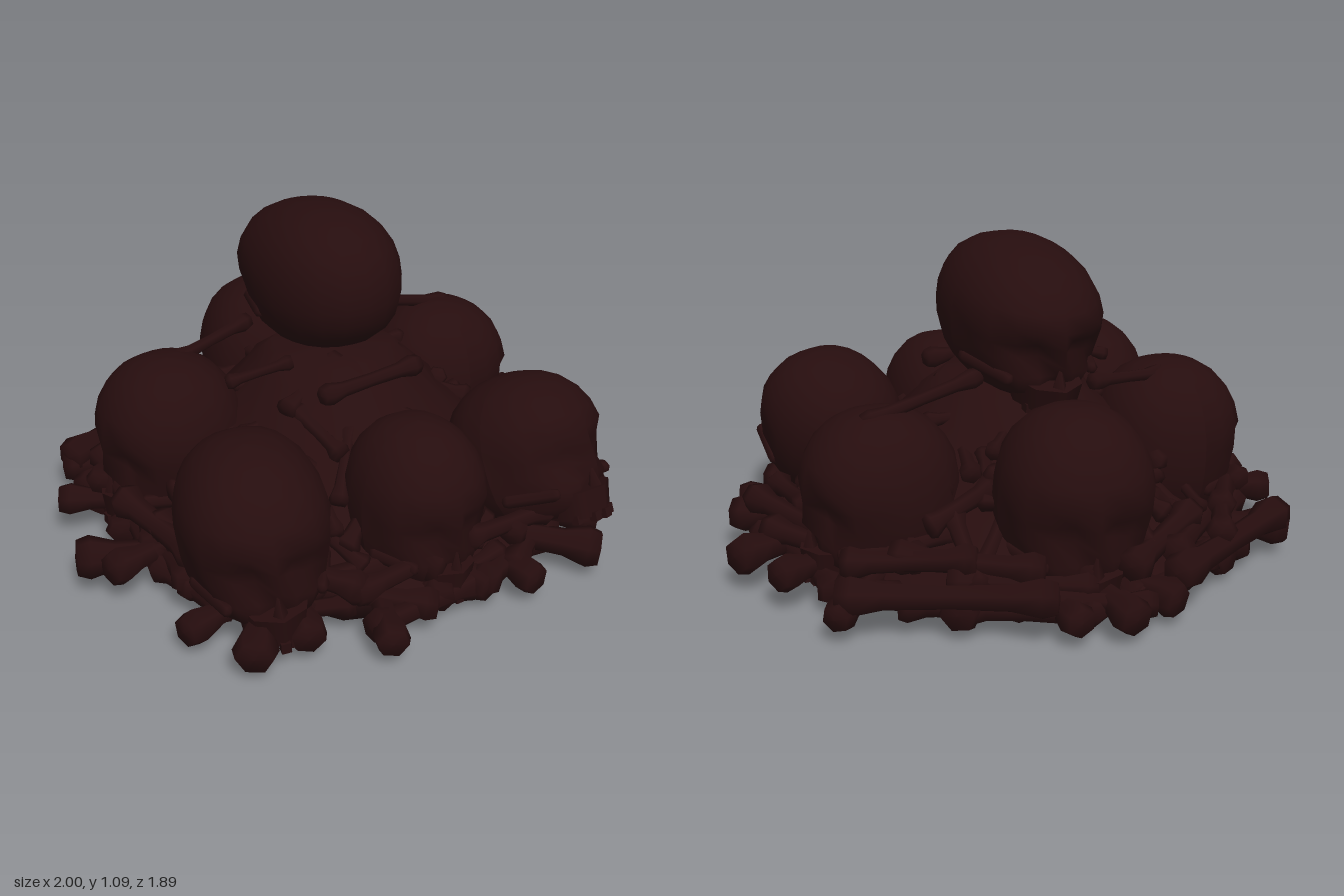
import * as THREE from 'three';

const boneMat = new THREE.MeshStandardMaterial({ color: 0x260d0e, side: THREE.DoubleSide });
boneMat.name = 'dark dried bone';

let seed = 7;
const rand = () => (seed = (seed * 16807) % 2147483647) / 2147483647;
const range = (a, b) => a + (b - a) * rand();
const V = (x, y, z) => new THREE.Vector3(x, y, z);

function add(parent, geometry, name) {
  const m = new THREE.Mesh(geometry, boneMat);
  m.name = name;
  parent.add(m);
  return m;
}

// Cranium: slightly boxy unit sphere shaped by rule, face toward +z
function craniumGeometry() {
  const g = new THREE.SphereGeometry(1, 20, 14);
  const p = g.attributes.position;
  const dents = [[-0.4, -0.18, 0.9, 0.36, 0.28], [0.4, -0.18, 0.9, 0.36, 0.28], [0, -0.55, 0.85, 0.22, 0.18],
    [-0.95, -0.25, 0.4, 0.4, 0.08], [0.95, -0.25, 0.4, 0.4, 0.08]];
  for (let i = 0; i < p.count; i++) {
    const d = V(p.getX(i), p.getY(i), p.getZ(i));
    let k = 1 / (Math.abs(d.x) ** 2.3 + Math.abs(d.y) ** 2.3 + Math.abs(d.z) ** 2.3) ** (1 / 2.3);
    for (const [x, y, z, r, depth] of dents) {
      const dist = d.distanceTo(V(x, y, z).normalize());
      if (dist < r) k -= depth * (1 - (dist / r) ** 2);
    }
    const face = Math.max(0, d.z) * Math.max(0, -d.y);
    p.setXYZ(i, d.x * k * (1 - 0.2 * face), Math.max(d.y, -0.85) * k, d.z * k * (1 + 0.15 * face));
  }
  g.computeVertexNormals();
  return g;
}
const cranium = craniumGeometry();

// Skull of half sizes (w, h, l) with nose, cheeks, upper jaw and teeth
function skull(parent, name, [x, y, z], [w, h, l], yaw, pitch, roll) {
  const s = new THREE.Group();
  s.name = name;
  s.position.set(x, y, z);
  s.rotation.set(pitch, yaw, roll, 'YXZ');
  s.scale.set(w, h, l);
  add(s, cranium, 'cranium');
  add(s, new THREE.CylinderGeometry(0.48, 0.42, 0.35, 8), 'upperJaw').position.set(0, -0.7, 0.58);
  add(s, new THREE.ConeGeometry(0.1, 0.3, 4), 'noseBone').position.set(0, -0.38, 0.92);
  for (const side of [-1, 1]) {
    const cheek = add(s, new THREE.CapsuleGeometry(0.09, 0.6, 2, 6), 'cheekbone');
    cheek.position.set(side * 0.74, -0.46, 0.42);
    cheek.rotation.set(Math.PI / 2, 0, side * 0.4);
  }
  for (let i = -2; i <= 2; i++) {
    add(s, new THREE.BoxGeometry(0.13, 0.12, 0.1), 'tooth')
      .position.set(i * 0.15, -0.88, 0.98 - 0.06 * i * i);
  }
  parent.add(s);
}

// Long bone from a to b with swollen ends
function bone(parent, a, b, r, name) {
  const len = a.distanceTo(b);
  const profile = [[0, 0], [1.1, 0.01], [1.35, 0.08], [0.9, 0.22], [0.8, 0.5], [0.9, 0.78], [1.35, 0.92], [1.1, 0.99], [0, 1]]
    .map(([q, t]) => new THREE.Vector2(q * r, t * len));
  const m = add(parent, new THREE.LatheGeometry(profile, 6), name);
  m.position.copy(a);
  m.quaternion.setFromUnitVectors(V(0, 1, 0), b.clone().sub(a).normalize());
}

// Bone of half length h about c, turned by t and tilted by rise
function boneAt(parent, c, h, t, rise, r, name) {
  const d = V(h * Math.cos(t), rise, h * Math.sin(t));
  bone(parent, c.clone().sub(d), c.clone().add(d), r, name);
}

export function createModel() {
  seed = 7;
  const group = new THREE.Group();
  group.name = 'skullPile';

  // Uneven core that closes the gaps
  const core = new THREE.LatheGeometry(
    [[0, 0.035], [0.74, 0.035], [0.76, 0.1], [0.62, 0.18], [0.5, 0.3], [0.38, 0.44], [0.27, 0.56], [0.2, 0.62], [0, 0.63]]
      .map(([r, y]) => new THREE.Vector2(r, y)), 28);
  const p = core.attributes.position;
  for (let i = 0; i < p.count; i++) {
    const a = Math.atan2(p.getZ(i), p.getX(i));
    const k = 1 + 0.06 * Math.sin(7 * a + 20 * p.getY(i));
    p.setX(i, p.getX(i) * k);
    p.setZ(i, p.getZ(i) * k);
  }
  core.computeVertexNormals();
  add(group, core, 'coreMound');

  // Skulls: three in front, one each side, one behind, one on top
  skull(group, 'frontRightSkull', [-0.53, 0.32, 0.47], [0.24, 0.29, 0.3], -0.2, 0, 0.08);
  skull(group, 'frontMiddleSkull', [0, 0.31, 0.56], [0.21, 0.28, 0.24], 0.1, 0, 0);
  skull(group, 'frontLeftSkull', [0.47, 0.33, 0.5], [0.24, 0.26, 0.26], 0.4, -0.4, -0.1);
  skull(group, 'rightSkull', [-0.54, 0.33, -0.16], [0.25, 0.29, 0.25], -1.5, 0, 0);
  skull(group, 'leftSkull', [0.53, 0.31, -0.18], [0.235, 0.28, 0.26], 1.6, 0, 0);
  skull(group, 'backSkull', [0.02, 0.34, -0.55], [0.25, 0.3, 0.26], 3.0, 0.1, 0);
  skull(group, 'topSkull', [0.01, 0.835, -0.12], [0.24, 0.245, 0.355], Math.PI, 0.14, 0);

  // Bone ends sticking out around the rim, given as x, z
  const rim = [[-0.99, 0.1], [-0.92, -0.27], [-0.81, -0.54], [-0.5, -0.67], [-0.18, -0.88], [0, -0.94],
    [0.16, -0.89], [0.48, -0.69], [0.82, -0.56], [0.91, -0.27], [0.99, -0.08], [0.9, 0.29], [0.82, 0.5],
    [0.67, 0.66], [0.57, 0.81], [0.28, 0.86], [0.13, 0.82], [-0.05, 0.81], [-0.29, 0.93], [-0.5, 0.79],
    [-0.69, 0.8], [-0.82, 0.58], [-0.92, 0.22]];
  rim.forEach(([x, z], i) => {
    const y = Math.abs(x) > 0.87 ? 0.12 : 0.08;
    const bend = range(-0.2, 0.2);
    bone(group, V(x * 0.45 - z * bend, 0.08 + 0.03 * (i % 3), z * 0.45 + x * bend), V(x, y, z), range(0.04, 0.055), 'rimBone');
  });

  // Bones lying along the rim, in two layers
  for (let i = 0; i < 52; i++) {
    const a = i / 26 * Math.PI * 2;
    const r = i < 26 ? range(0.72, 0.8) : range(0.66, 0.77);
    const y = i < 26 ? range(0.07, 0.1) : range(0.14, 0.21);
    boneAt(group, V(r * Math.cos(a), y, r * Math.sin(a)), range(0.16, 0.25), a + Math.PI / 2 + range(-0.35, 0.35),
      range(-0.02, 0.02), range(0.034, 0.046), 'ringBone');
  }

  // Bones under the mound
  for (let i = 0; i < 50; i++) {
    const a = i * 2.4, r = 0.62 * Math.sqrt(i / 50);
    boneAt(group, V(r * Math.cos(a), range(0.05, 0.065), r * Math.sin(a)), range(0.13, 0.22), range(0, Math.PI),
      range(-0.01, 0.01), range(0.024, 0.03), 'floorBone');
  }

  // Bones wedged between the skulls, sloping down from the middle
  for (let i = 0; i < 90; i++) {
    const a = i * 2.4, r = 0.15 + 0.5 * Math.sqrt(i / 90);
    const y = 0.7 - r * 0.74 + range(-0.05, 0.02);
    boneAt(group, V(r * Math.cos(a), y, r * Math.sin(a)), range(0.07, 0.14), a + range(-1.2, 1.2),
      range(-0.08, 0), range(0.022, 0.036), 'wedgedBone');
  }

  // Long bones across the back and shoulders
  bone(group, V(-0.8, 0.13, -0.5), V(-0.2, 0.14, -0.82), 0.05, 'backRightLongBone');
  bone(group, V(0.2, 0.14, -0.82), V(0.8, 0.13, -0.5), 0.05, 'backLeftLongBone');
  bone(group, V(0.18, 0.66, -0.2), V(0.6, 0.56, -0.22), 0.025, 'leftShoulderBone');
  bone(group, V(-0.17, 0.62, -0.3), V(-0.5, 0.58, -0.2), 0.025, 'rightShoulderBone');
  bone(group, V(-0.42, 0.59, 0.05), V(-0.2, 0.64, 0.1), 0.02, 'rightSmallBone');
  bone(group, V(-0.2, 0.6, 0.3), V(0.2, 0.6, 0.24), 0.028, 'frontCrossBone');

  return group;
}
